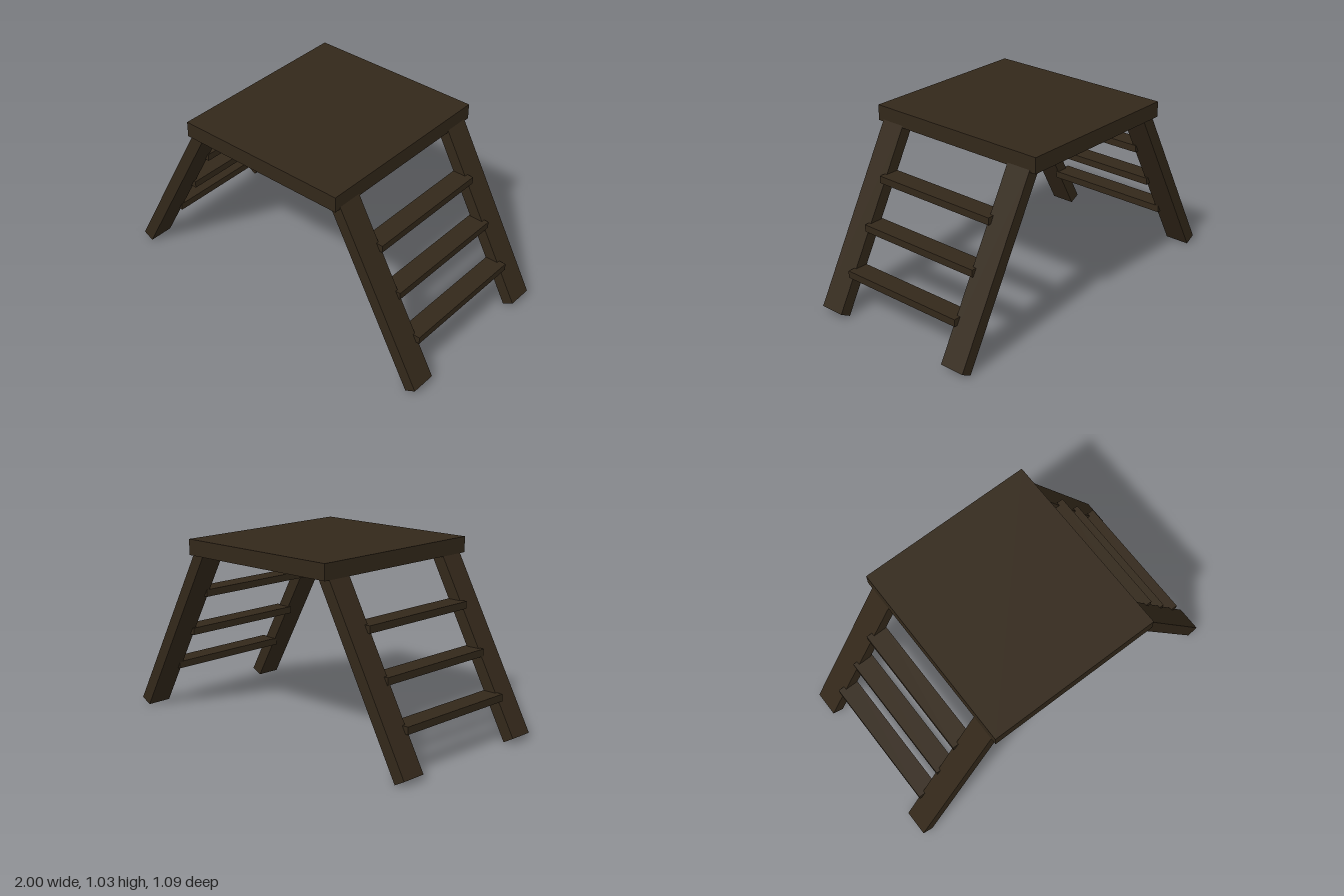
import * as THREE from 'three';

export function createModel() {
  const group = new THREE.Group();
  const wood = new THREE.MeshStandardMaterial({ color: 0x33281a });

  const addBox = (name, size, position, tilt = 0) => {
    const mesh = new THREE.Mesh(new THREE.BoxGeometry(...size), wood);
    mesh.name = name;
    mesh.position.set(...position);
    mesh.rotation.z = tilt;
    group.add(mesh);
  };

  // Flat platform, overhanging the legs at front and back
  addBox('platform', [1.01, 0.087, 1.092], [-0.005, 0.984, 0]);

  // Sloping plank legs: the foot centre, the lean and the length up into the platform
  const lean = THREE.MathUtils.degToRad(28.5);
  const length = 1.1;
  const footX = 0.97, footY = 0.016;
  const legX = footX - Math.sin(lean) * length / 2;
  const legY = footY + Math.cos(lean) * length / 2;

  // Rung centres [x, y] on the left ladder
  const rungs = [[0.861, 0.237], [0.729, 0.458], [0.608, 0.697]];

  for (const side of [1, -1]) {
    const label = side > 0 ? 'left' : 'right';
    for (const end of [1, -1]) {
      const name = label + (end > 0 ? 'FrontLeg' : 'BackLeg');
      addBox(name, [0.067, length, 0.144], [side * legX, legY, end * 0.438], side * lean);
    }
    // Level rungs between the legs
    rungs.forEach(([x, y], i) => {
      const rungX = side > 0 ? x : -x + 0.004;
      addBox(`${label}Rung${i + 1}`, [0.114, 0.04, 0.767], [rungX, y, -0.003]);
    });
  }
  return group;
}
